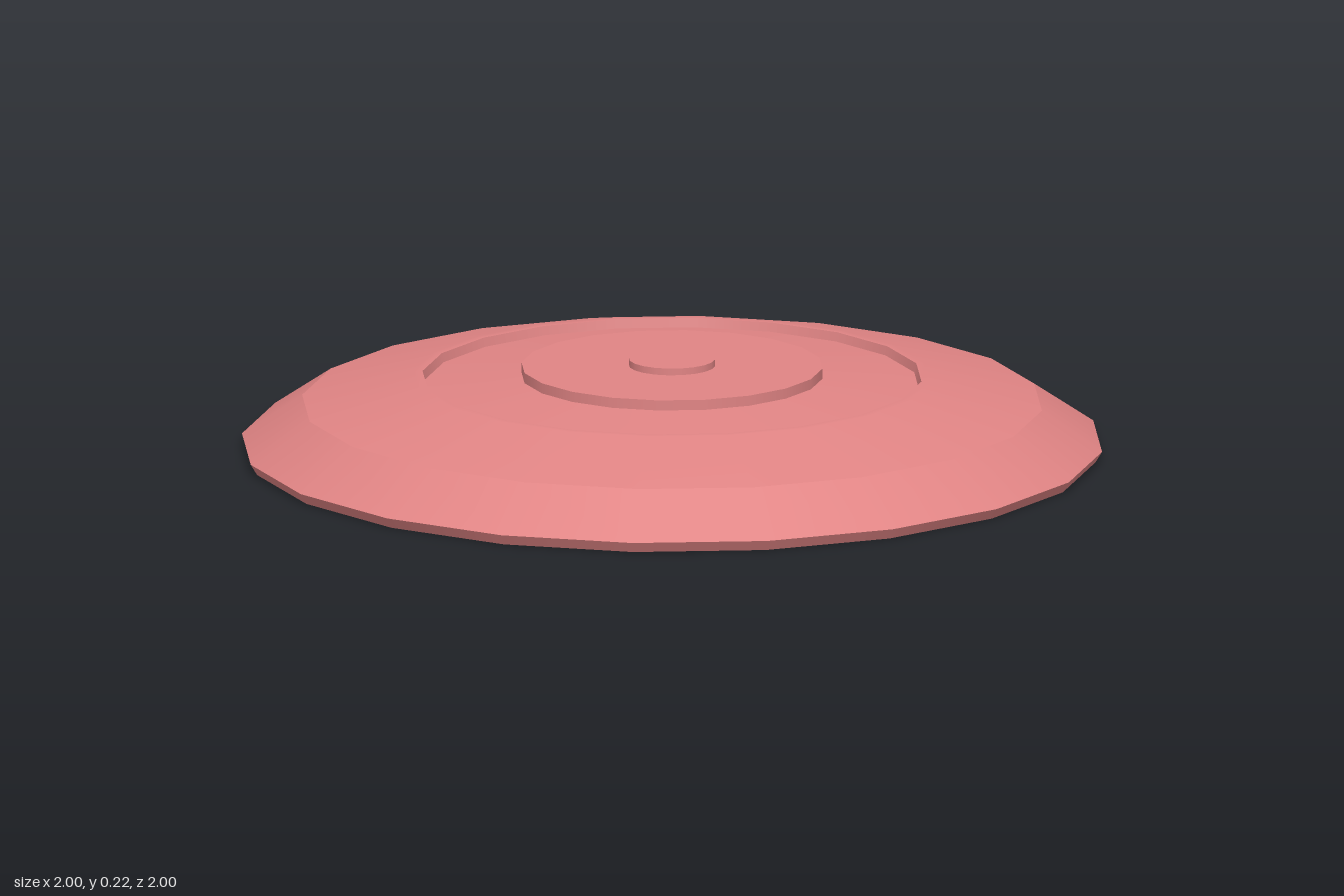
import * as THREE from 'three';

const SIDES = 20;

export function createModel() {
  const model = new THREE.Group();
  model.name = 'domedLid';
  const material = new THREE.MeshStandardMaterial({ color: 0xe08484 });

  // Each band is turned on its own so the edges between bands stay crisp.
  function addPart(name, bands) {
    const part = new THREE.Group();
    part.name = name;
    for (const band of bands) {
      const points = band.map(([r, y]) => new THREE.Vector2(r, y));
      const mesh = new THREE.Mesh(new THREE.LatheGeometry(points, SIDES), material);
      mesh.name = name + 'Band';
      part.add(mesh);
    }
    model.add(part);
  }

  // Bevelled rim and sloping outer shell
  addPart('rim', [[[0.985, 0], [1, 0.025]]]);
  addPart('outerShell', [
    [[1, 0.025], [0.86, 0.12]],
    [[0.86, 0.12], [0.6, 0.183], [0.58, 0.183]],
  ]);

  // Sunken ring, rising gently towards the middle
  addPart('sunkenRing', [
    [[0.58, 0.183], [0.575, 0.162]],
    [[0.575, 0.162], [0.35, 0.185]],
  ]);

  // Raised disc and centre button
  addPart('raisedDisc', [
    [[0.35, 0.185], [0.35, 0.209]],
    [[0.35, 0.209], [0.1, 0.209]],
  ]);
  addPart('centreButton', [
    [[0.1, 0.209], [0.1, 0.225]],
    [[0.1, 0.225], [0, 0.225]],
  ]);

  // Hollow underside, following the top at an even thickness
  addPart('underside', [
    [[0, 0.2], [0.08, 0.2]],
    [[0.08, 0.2], [0.08, 0.184]],
    [[0.08, 0.184], [0.325, 0.184]],
    [[0.325, 0.184], [0.325, 0.161]],
    [[0.325, 0.161], [0.595, 0.135]],
    [[0.595, 0.135], [0.6, 0.155]],
    [[0.6, 0.155], [0.845, 0.095]],
    [[0.845, 0.095], [0.985, 0]],
  ]);

  return model;
}
